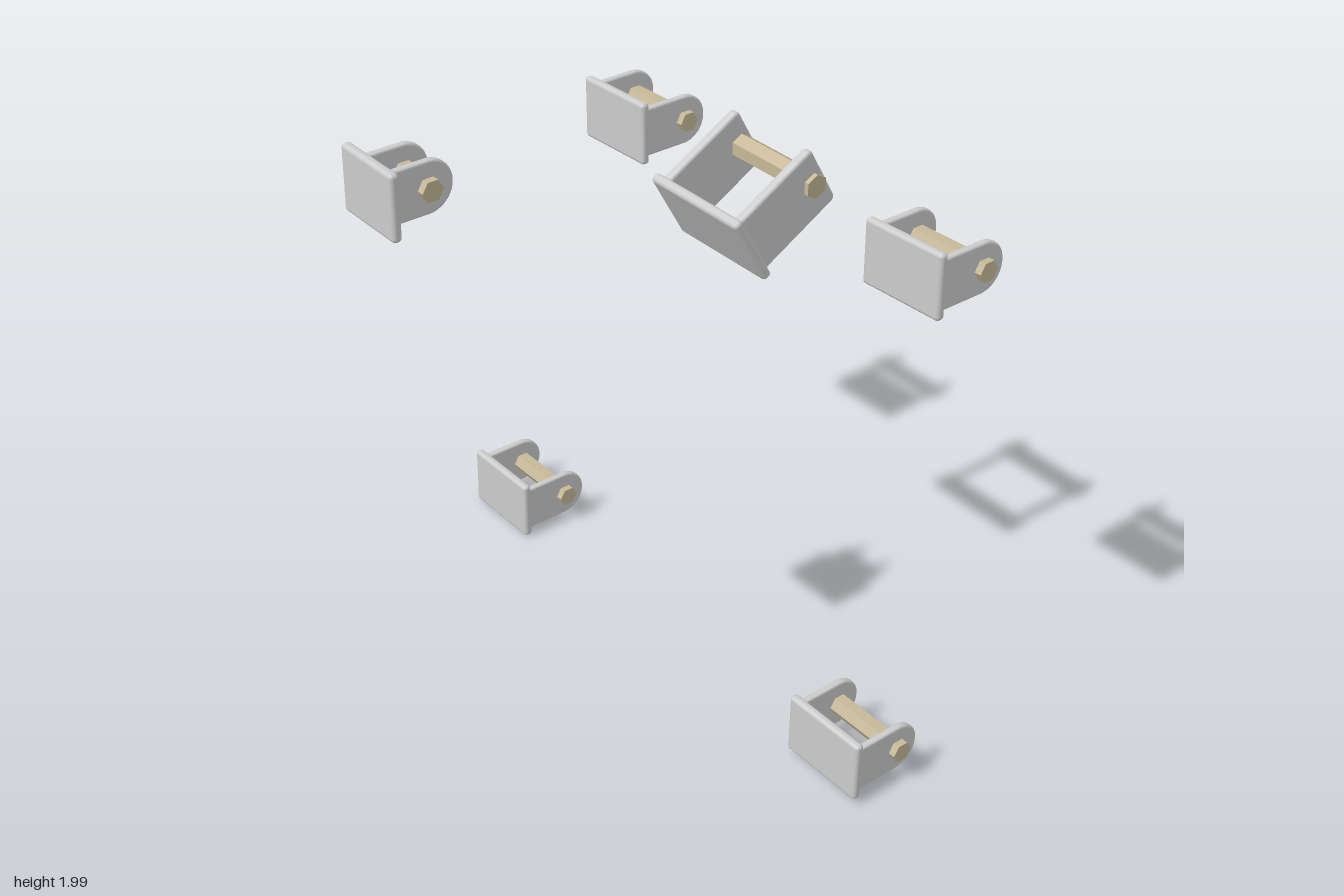
import * as THREE from 'three';
import { RoundedBoxGeometry } from 'three/addons/geometries/RoundedBoxGeometry.js';

const steel = new THREE.MeshStandardMaterial({ color: 0xcccccc });
const brass = new THREE.MeshStandardMaterial({ color: 0xc6b898, flatShading: true });

// Side outline of a lug: u runs away from the plate, v is height, r rounds the far corners
function lugGeometry(start, end, height, r, thickness) {
  const h = height / 2;
  const s = new THREE.Shape();
  s.moveTo(start, -h);
  s.lineTo(end - r, -h);
  s.absarc(end - r, -h + r, r, -Math.PI / 2, 0, false);
  s.absarc(end - r, h - r, r, 0, Math.PI / 2, false);
  s.lineTo(start, h);
  s.closePath();
  const bevel = thickness * 0.3;
  const geo = new THREE.ExtrudeGeometry(s, {
    depth: thickness - 2 * bevel, curveSegments: 12,
    bevelEnabled: true, bevelThickness: bevel, bevelSize: bevel, bevelOffset: -bevel, bevelSegments: 3,
  });
  geo.translate(0, 0, -thickness / 2 + bevel);
  geo.rotateY(Math.PI / 2); // u -> -z, extrusion -> x
  return geo;
}

// Clevis bracket; origin is the centre of the plate's front face
function bracket(name, o) {
  const g = new THREE.Group();
  g.name = name;
  const add = (geo, mat, part, x, z) => {
    const m = new THREE.Mesh(geo, mat);
    m.name = part;
    m.position.set(x, 0, z);
    g.add(m);
    return m;
  };
  add(new RoundedBoxGeometry(o.width, o.height, o.plate, 3, o.plate * 0.42), steel, 'mountingPlate', 0, -o.plate / 2);
  const lug = lugGeometry(o.plate * 0.5, o.depth, o.lugHeight, o.round, o.lug);
  for (const side of [-1, 1]) add(lug, steel, side < 0 ? 'rightLug' : 'leftLug', side * o.spacing / 2, 0);
  // Hexagonal cross pin
  add(new THREE.CylinderGeometry(o.pinRadius, o.pinRadius, o.pinLength, 6), brass, 'hexPin', 0, -o.pin)
    .rotation.z = Math.PI / 2;
  g.position.set(...o.at);
  g.rotation.set(o.pitch || 0, 0, o.roll || 0);
  return g;
}

export function createModel() {
  const model = new THREE.Group();
  model.name = 'bracketSet';

  const medium = {
    width: 0.28, height: 0.195, plate: 0.028, depth: 0.242, lugHeight: 0.152, round: 0.075,
    lug: 0.022, spacing: 0.24, pin: 0.168, pinRadius: 0.032, pinLength: 0.304,
  };
  const small = {
    width: 0.218, height: 0.18, plate: 0.027, depth: 0.202, lugHeight: 0.142, round: 0.07,
    lug: 0.02, spacing: 0.106, pin: 0.131, pinRadius: 0.03, pinLength: 0.168,
  };
  const large = {
    width: 0.355, height: 0.236, plate: 0.03, depth: 0.306, lugHeight: 0.202, round: 0.015,
    lug: 0.03, spacing: 0.295, pin: 0.263, pinRadius: 0.036, pinLength: 0.353,
  };

  model.add(
    bracket('topBracket', { ...small, at: [0.112, 1.91, 0.757] }),
    bracket('centreBracket', { ...large, at: [0.115, 1.466, -0.29], pitch: Math.PI / 6 }),
    bracket('upperRightBracket', { ...medium, at: [-0.588, 1.452, -0.515], roll: 0.035 }),
    bracket('upperLeftBracket', { ...medium, at: [0.623, 1.496, -0.515], roll: 0.035 }),
    bracket('lowerRightBracket', { ...medium, at: [-0.785, 0.107, -0.203], roll: 0.012 }),
    bracket('lowerLeftBracket', { ...medium, at: [0.78, 0.126, -0.203], roll: 0.012 }),
  );
  return model;
}
